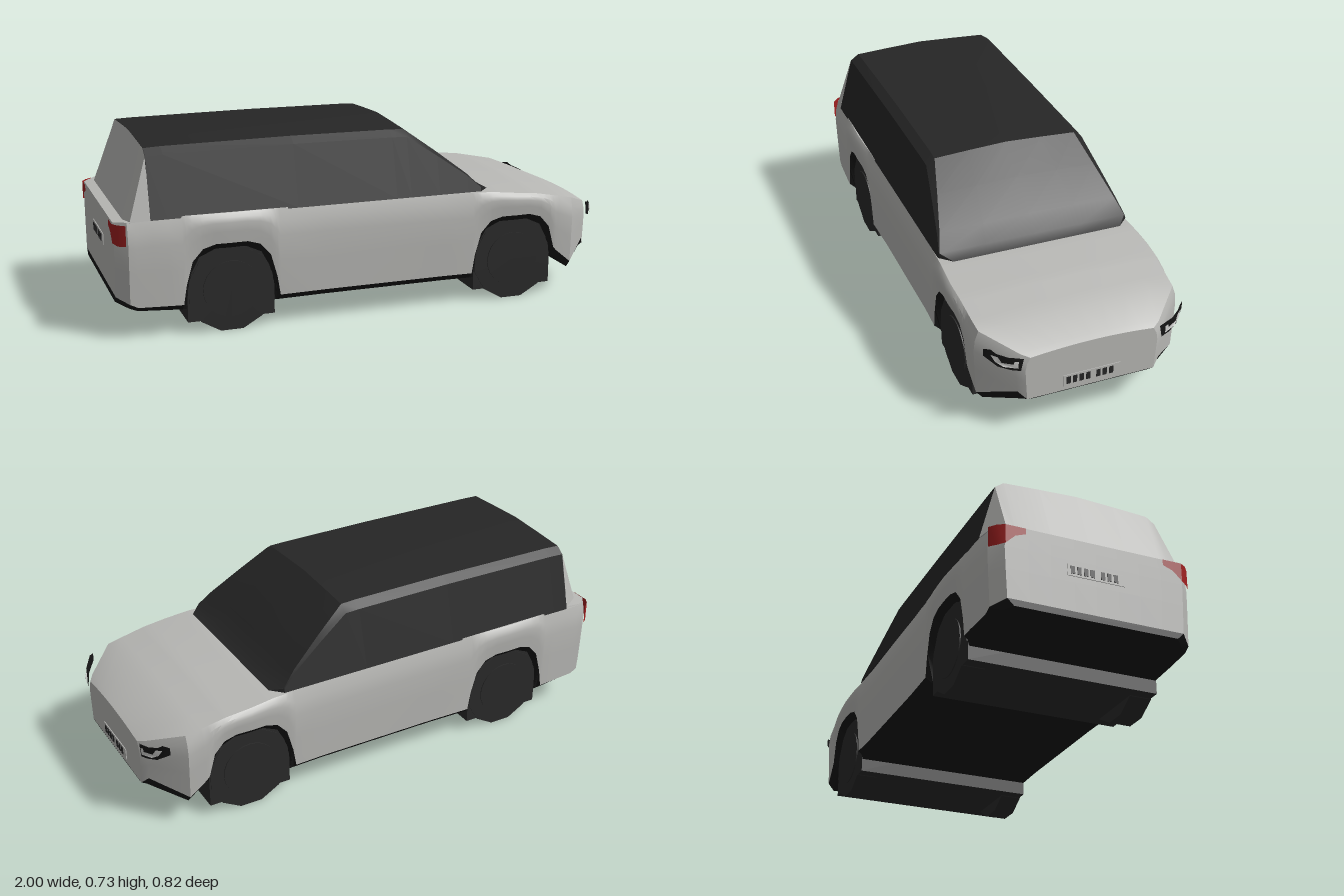
import * as THREE from 'three';
import { toCreasedNormals } from 'three/addons/utils/BufferGeometryUtils.js';

const mat = (name, color, side = THREE.DoubleSide) => {
  const m = new THREE.MeshStandardMaterial({ color, side });
  m.name = name;
  return m;
};

// linear interpolation in a table of [x, value]
const lerp = (t, x) => {
  if (x <= t[0][0]) return t[0][1];
  for (let i = 1; i < t.length; i++) {
    if (x <= t[i][0]) {
      const [x0, a] = t[i - 1], [x1, b] = t[i];
      return a + (b - a) * (x - x0) / (x1 - x0);
    }
  }
  return t[t.length - 1][1];
};

// surface through equal-length rows of [x, y, z] points
function grid(rows, crease = 0.5) {
  const n = rows[0].length, index = [];
  for (let i = 0; i < rows.length - 1; i++) {
    for (let j = 0; j < n - 1; j++) {
      const a = i * n + j, b = a + n;
      index.push(a, b, a + 1, b, b + 1, a + 1);
    }
  }
  const g = new THREE.BufferGeometry();
  g.setAttribute('position', new THREE.Float32BufferAttribute(rows.flat(2), 3));
  g.setIndex(index);
  g.computeVertexNormals();
  return toCreasedNormals(g, crease);
}

// outlines of the body along its length
const WHEELS = [-0.565, 0.605];
const width = [[-0.995, 0.34], [-0.95, 0.385], [-0.8, 0.394], [-0.57, 0.402], [-0.2, 0.393],
  [0.3, 0.393], [0.605, 0.404], [0.8, 0.397], [0.86, 0.393], [0.975, 0.28], [0.995, 0.25]];
const belt = [[-0.995, 0.45], [-0.86, 0.466], [0, 0.462], [0.5, 0.452], [0.7, 0.43], [0.86, 0.398],
  [0.975, 0.348], [0.995, 0.338]];
const crown = [[0.45, 0], [0.5, 0.006], [0.7, 0.012], [0.995, 0.014]];
const sillTop = [[-0.995, 0.165], [-0.92, 0.13], [-0.74, 0.125], [0.77, 0.125], [0.775, 0.2],
  [0.86, 0.13], [0.975, 0.187], [0.995, 0.157]];
const sillLow = [[-0.995, 0.14], [-0.92, 0.11], [-0.74, 0.1], [0.77, 0.1], [0.775, 0.17],
  [0.86, 0.1], [0.995, 0.155]];
const archTop = [[0, 0.35], [0.06, 0.35], [0.11, 0.335], [0.15, 0.29], [0.175, 0.2], [0.187, 0.125], [0.19, 0]];
const archLow = [[0, 0.325], [0.06, 0.325], [0.12, 0.297], [0.15, 0.24], [0.168, 0.17], [0.171, 0.1], [0.173, 0]];
const withArch = (sill, arch, x) =>
  Math.max(lerp(sill, x), ...WHEELS.map(c => lerp(arch, Math.abs(x - c))));
const wallLow = x => withArch(sillTop, archTop, x);
const trimLow = x => withArch(sillLow, archLow, x);

// lengthwise stations, including every bend of the arches
const stations = [...new Set([...width, ...belt, ...sillTop, ...sillLow].map(p => p[0]).concat(
  WHEELS.flatMap(c => [...archTop, ...archLow].flatMap(([d]) => [c - d, c + d])))
  .map(x => +x.toFixed(4)))].sort((a, b) => a - b);

// fraction of wall height and its bulge
const bulge = [[0, 0], [0.4, 0.005], [0.7, 0.008], [0.86, 0.003], [1, -0.01]];
const wallRow = (x, s) => bulge.map(([f, dz]) => {
  const lo = wallLow(x);
  return [x, lo + (lerp(belt, x) - lo) * f, s * (lerp(width, x) + dz)];
});
const topRow = x => [-1, -0.75, -0.5, -0.25, 0, 0.25, 0.5, 0.75, 1].map(f =>
  [x, lerp(belt, x) + lerp(crown, x) * (1 - f * f), f * (lerp(width, x) - 0.01)]);

// cabin half section mirrored; k is height from belt (0) to roof (1)
const cabinRow = (x, k, w = 1) => {
  const half = [[0.388, 0.458], [0.388 - 0.063 * k, 0.458 + 0.232 * k],
    [0.388 - 0.098 * k, 0.458 + 0.257 * k], [0.2 - 0.05 * k, 0.458 + 0.265 * k]];
  return [...half.map(([z, y]) => [x, y, z * w]), [x, 0.458 + 0.272 * k, 0],
    ...half.reverse().map(([z, y]) => [x, y, -z * w])];
};

export function createModel() {
  const model = new THREE.Group();
  const paint = mat('body paint', 0xb8b8b5);
  const glass = mat('cabin black', 0x262626);
  const trim = mat('trim black', 0x161616);
  const rubber = mat('wheel black', 0x2a2a2a);
  const lamp = mat('headlight white', 0xd4d4d2);
  const red = mat('tail light red', 0xa02020);
  const add = (name, geo, m, x = 0, y = 0, z = 0) => {
    const mesh = new THREE.Mesh(geo, m);
    mesh.name = name;
    mesh.position.set(x, y, z);
    model.add(mesh);
    return mesh;
  };

  // body shell
  for (const s of [1, -1]) {
    add('bodySide', grid(stations.map(x => wallRow(x, s))), paint);
    add('lowerTrim', grid(stations.map(x => {
      const w = lerp(width, x);
      return [[x, wallLow(x), s * w], [x, trimLow(x), s * (w - 0.025)]];
    })), trim);
  }
  add('hoodAndDeck', grid(stations.filter(x => x < -0.8 || x > 0.42).length
    ? stations.map(topRow) : []), paint);
  add('floor', grid(stations.map(x => [-1, 1].map(s =>
    [x, lerp(sillLow, x), s * (lerp(width, x) - 0.025)]))), trim);

  // flat nose and tail faces, each with a trim strip below
  for (const [name, x] of [['nose', 0.995], ['tail', -0.995]]) {
    const left = wallRow(x, 1), right = wallRow(x, -1), w = lerp(width, x);
    add(name, grid(left.map((p, i) => i < left.length - 1 ? Array.from({ length: 9 }, (_, j) =>
      [x, p[1], right[i][2] + (p[2] - right[i][2]) * j / 8]) : topRow(x))), paint);
    add(name + 'Trim', grid([wallLow(x), trimLow(x)].map((y, i) =>
      [-1, 1].map(s => [x, y, s * (w - 0.025 * i)]))), trim);
  }

  // cabin with roof, side glass and windscreen
  add('cabin', grid([cabinRow(-0.865, 0.975), cabinRow(-0.8, 0.985), cabinRow(-0.3, 1),
    cabinRow(0.1, 0.99), cabinRow(0.16, 0.98), cabinRow(0.28, 0.64), cabinRow(0.4, 0.28),
    cabinRow(0.455, 0.07), cabinRow(0.5, 0, 0.88)], 0.45), glass);

  // sloping tailgate with folded corner pillars
  const top = cabinRow(-0.866, 0.975);
  const base = top.map(([, , z], i) => i === 0 || i === top.length - 1
    ? [-0.94, 0.453, Math.sign(z) * 0.378] : [-0.957, 0.452, z * 0.98]);
  add('tailgate', grid([top, base], 0.3), paint);

  // wheel wells, wheels and hubs
  for (const c of WHEELS) {
    add('wheelWell', new THREE.BoxGeometry(0.338, 0.285, 0.748), rubber, c, 0.1895, 0);
    for (const s of [1, -1]) {
      const tyre = new THREE.CylinderGeometry(0.169, 0.169, 0.088, 12);
      tyre.rotateY(Math.PI / 12).rotateX(Math.PI / 2);
      add('wheel', toCreasedNormals(tyre, 0.3), rubber, c, 0.164, s * 0.333);
      const hub = new THREE.CylinderGeometry(0.11, 0.11, 0.006, 24).rotateX(Math.PI / 2);
      add('hub', hub, rubber, c, 0.164, s * 0.378);
    }
  }

  // curved headlight plates, outlined in (z, y)
  const frame = [[0.39, 0.34], [0.35, 0.308], [0.31, 0.298], [0.275, 0.29], [0.265, 0.34],
    [0.32, 0.352], [0.355, 0.362], [0.37, 0.375], [0.39, 0.37]];
  const lens = [[0.372, 0.355], [0.36, 0.33], [0.335, 0.313], [0.287, 0.306], [0.285, 0.335],
    [0.3, 0.338], [0.302, 0.325], [0.34, 0.33], [0.352, 0.352]];
  const plate = (pts, s, lift) => {
    const g = new THREE.ShapeGeometry(new THREE.Shape(pts.map(p => new THREE.Vector2(...p))));
    const p = g.attributes.position;
    for (let i = 0; i < p.count; i++) {
      const z = p.getX(i), u = (z - 0.265) / 0.125;
      p.setXYZ(i, 0.995 - 0.07 * u * u + lift, p.getY(i), s * z);
    }
    // mirroring reverses the corners, so keep the front outward
    if (s > 0) g.setIndex([...g.index.array].reverse());
    g.computeVertexNormals();
    return g;
  };
  for (const s of [1, -1]) {
    add('headlightFrame', plate(frame, s, 0), trim);
    add('headlightLens', plate(lens, s, 0.005), lamp);

    // tail light wrapping the rear corner
    const path = [[-0.958, 0.394, 0.37], [-0.985, 0.372, 0.368], [-1, 0.346, 0.375],
      [-1, 0.31, 0.41], [-1, 0.27, 0.425]];
    add('tailLight', grid(path.map(([x, z, low]) => [[x, low, s * z], [x, 0.448, s * z]])), red);
  }

  // number plates with plain dark bars
  for (const [x, y, dir] of [[0.996, 0.2, 1], [-0.996, 0.325, -1]]) {
    add('numberPlate', new THREE.BoxGeometry(0.004, 0.046, 0.224), paint, x, y, 0);
    for (const z of [0.092, 0.067, 0.041, 0.015, -0.025, -0.05, -0.076]) {
      add('plateBar', new THREE.BoxGeometry(0.003, 0.03, 0.016), glass, x + dir * 0.0025, y, dir * z);
    }
  }
  return model;
}
